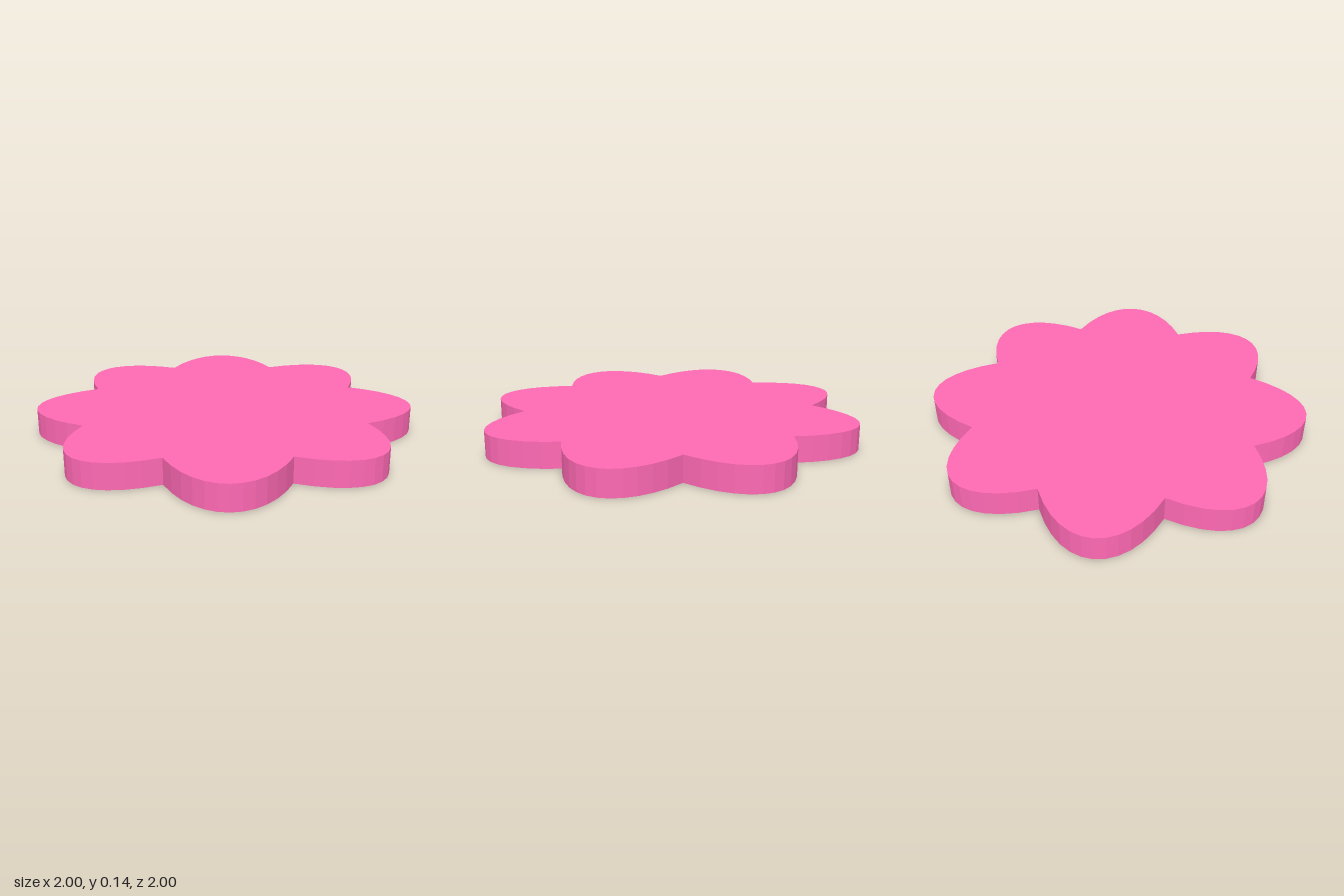
import * as THREE from 'three';

const PETALS = 8;
const NOTCH_RADIUS = 0.827; // where neighbouring petals meet
const HANDLE = 0.435;       // how far each petal edge bulges outwards
const THICKNESS = 0.142;

// Flower outline: one cubic curve per petal, from notch to notch
function flowerOutline() {
  const shape = new THREE.Shape();
  const step = (Math.PI * 2) / PETALS;
  const notch = (a) => new THREE.Vector2(Math.cos(a), Math.sin(a)).multiplyScalar(NOTCH_RADIUS);
  const handle = (from, a) =>
    from.clone().add(new THREE.Vector2(Math.cos(a), Math.sin(a)).multiplyScalar(HANDLE));

  shape.moveTo(NOTCH_RADIUS, 0);
  for (let i = 0; i < PETALS; i++) {
    const a0 = i * step;
    const a1 = a0 + step;
    const start = notch(a0);
    const end = notch(a1);
    // Both edges lean one petal step towards the petal's axis
    const c0 = handle(start, a0 + step);
    const c1 = handle(end, a1 - step);
    shape.bezierCurveTo(c0.x, c0.y, c1.x, c1.y, end.x, end.y);
  }
  return shape;
}

export function createModel() {
  const group = new THREE.Group();
  group.name = 'flower';

  // Flat slab laid on the ground
  const geometry = new THREE.ExtrudeGeometry(flowerOutline(), {
    depth: THICKNESS,
    bevelEnabled: false,
    curveSegments: 12,
  });
  geometry.rotateX(-Math.PI / 2);

  const slab = new THREE.Mesh(geometry, new THREE.MeshStandardMaterial({ color: 0xff69b4 }));
  slab.name = 'flowerSlab';
  group.add(slab);
  return group;
}
